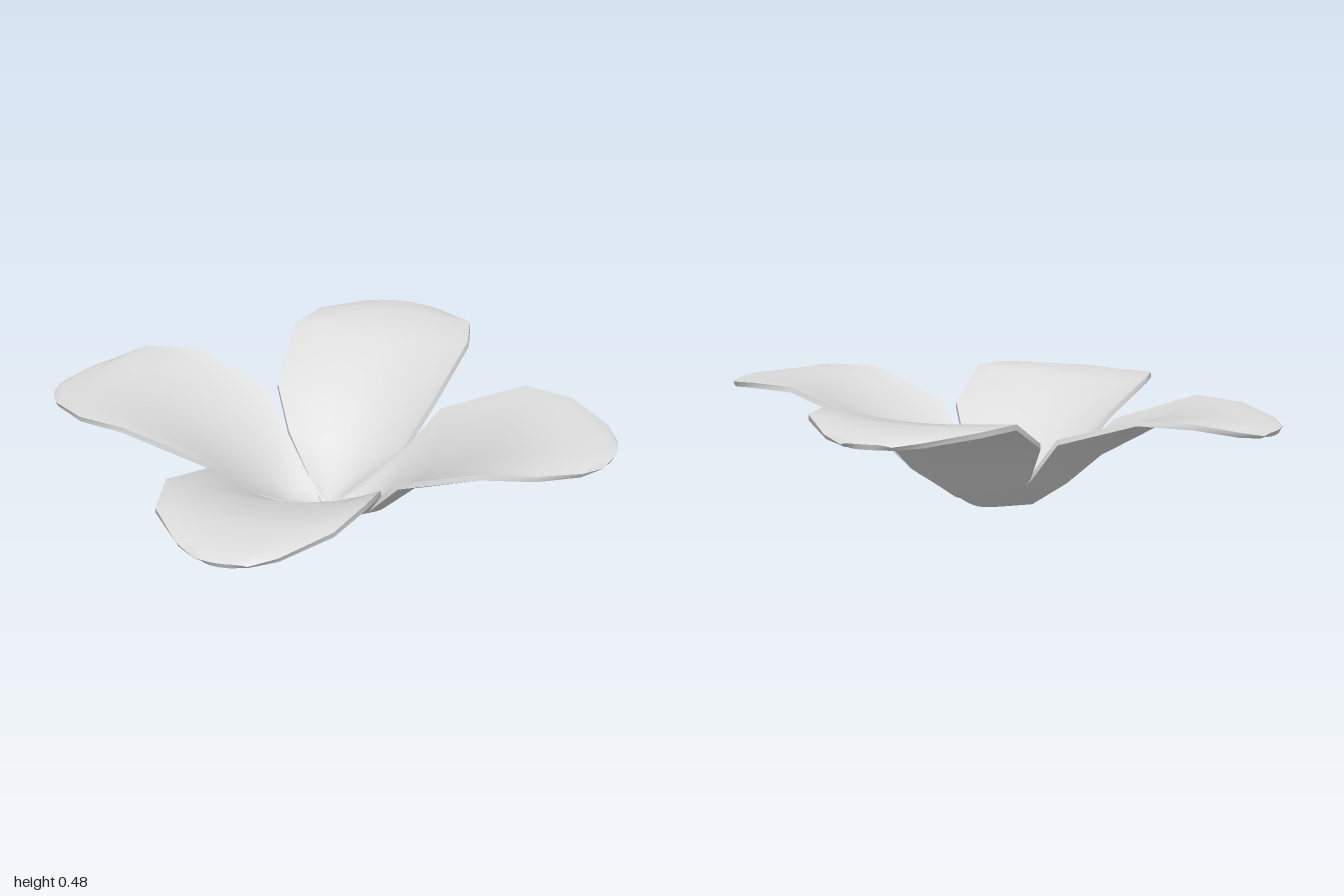
import * as THREE from 'three';

// Petal cross-sections from base to tip: left edge, middle, right edge
const SECTIONS = [
  [[-0.015, 0.028, 0.015], [0, 0.02, 0], [0.015, 0.028, -0.005]],
  [[-0.055, 0.085, 0.14], [0.05, 0.045, 0.13], [0.135, 0.07, 0.06]],
  [[-0.12, 0.18, 0.30], [0.09, 0.125, 0.24], [0.305, 0.185, 0.13]],
  [[-0.145, 0.34, 0.45], [0.14, 0.25, 0.37], [0.425, 0.33, 0.20]],
  [[-0.07, 0.445, 0.75], [0.24, 0.41, 0.62], [0.58, 0.445, 0.47]],
  [[0.04, 0.443, 0.91], [0.31, 0.433, 0.82], [0.61, 0.44, 0.66]],
  [[0.21, 0.408, 0.985], [0.37, 0.42, 0.94], [0.55, 0.415, 0.86]],
  [[0.31, 0.39, 1.0], [0.40, 0.395, 0.99], [0.49, 0.40, 0.94]],
];
const ACROSS = 10;
const ROW = ACROSS + 1;
const LAST = SECTIONS.length - 1;
const THICKNESS = 0.02;
const LIP = 0.008; // how far the side rims roll down
const TILT = 0.045; // the whole flower leans slightly

function makeGeometry(points, indices) {
  const geometry = new THREE.BufferGeometry().setFromPoints(points);
  geometry.setIndex(indices);
  geometry.computeVertexNormals();
  return geometry;
}

// Triangles of a grid of points, facing up or down
function gridIndices(rows, columns, flip) {
  const indices = [];
  for (let i = 0; i < rows; i++) {
    for (let j = 0; j < columns; j++) {
      const a = i * (columns + 1) + j;
      const b = a + columns + 1;
      if (flip) indices.push(a, a + 1, b, a + 1, b + 1, b);
      else indices.push(a, b, a + 1, a + 1, b, b + 1);
    }
  }
  return indices;
}

function topPoints(quarter) {
  const up = new THREE.Vector3(0, 1, 0);
  return SECTIONS.flatMap((section, i) => {
    const [left, middle, right] = section.map((p) => new THREE.Vector3(...p));
    const bulge = middle.clone().sub(left.clone().add(right).multiplyScalar(0.5));
    return Array.from({ length: ROW }, (_, j) => {
      const s = (2 * j) / ACROSS - 1;
      const p = left.clone().lerp(right, j / ACROSS).addScaledVector(bulge, 1 - s * s);
      // Rolled rim on the outer part of the petal
      if (i > 2) p.y -= LIP * Math.max(0, 2 * Math.abs(s) - 1) ** 2;
      p.applyAxisAngle(up, quarter * Math.PI / 2);
      p.y += TILT * p.x;
      return p;
    });
  });
}

function makePetal(name, quarter, material) {
  const top = topPoints(quarter);
  const inner = makeGeometry(top, gridIndices(LAST, ACROSS, false));

  // Underside is the top moved back along its normals
  const normal = new THREE.Vector3();
  const bottom = top.map((p, k) => {
    normal.fromBufferAttribute(inner.attributes.normal, k);
    return p.clone().addScaledVector(normal, -THICKNESS);
  });
  const outer = makeGeometry(bottom, gridIndices(LAST, ACROSS, true));

  // Rim runs once round the outline: left side, tip, right side, base
  const loop = [];
  for (let i = 0; i < LAST; i++) loop.push(i * ROW);
  for (let j = 0; j < ACROSS; j++) loop.push(LAST * ROW + j);
  for (let i = LAST; i > 0; i--) loop.push(i * ROW + ACROSS);
  for (let j = ACROSS; j >= 0; j--) loop.push(j);
  const rimPoints = [...loop.map((k) => top[k]), ...loop.map((k) => bottom[k])];
  const rim = makeGeometry(rimPoints, gridIndices(1, loop.length - 1, false));

  const petal = new THREE.Group();
  petal.name = name;
  Object.entries({ innerFace: inner, outerFace: outer, rim }).forEach(([part, geometry]) => {
    const mesh = new THREE.Mesh(geometry, material);
    mesh.name = part;
    petal.add(mesh);
  });
  return petal;
}

export function createModel() {
  const flower = new THREE.Group();
  flower.name = 'flower';
  const petalGrey = new THREE.MeshStandardMaterial({ color: 0xdcdcdc });
  petalGrey.name = 'petalGrey';

  // Four petals, each a quarter turn apart
  ['frontPetal', 'leftPetal', 'backPetal', 'rightPetal'].forEach((name, quarter) => {
    flower.add(makePetal(name, quarter, petalGrey));
  });
  return flower;
}
